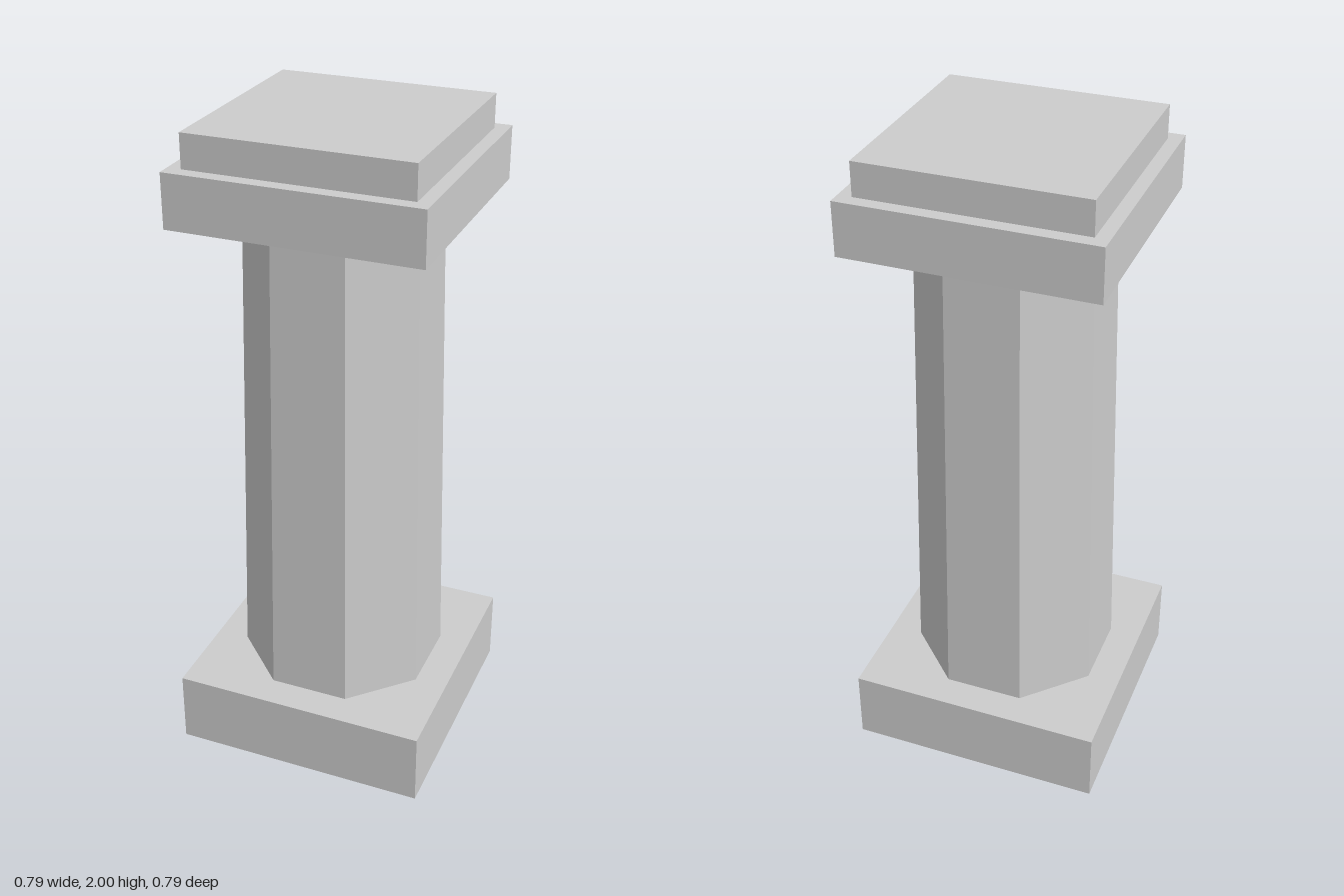
import * as THREE from 'three';

export function createModel() {
  const model = new THREE.Group();
  model.name = 'column';
  const stone = new THREE.MeshStandardMaterial({ color: 0xcccccc });
  stone.name = 'grey stone';
  stone.flatShading = true;

  const add = (name, geometry, y0, y1) => {
    const mesh = new THREE.Mesh(geometry, stone);
    mesh.name = name;
    mesh.position.y = (y0 + y1) / 2;
    model.add(mesh);
  };
  const slab = (name, width, y0, y1) =>
    add(name, new THREE.BoxGeometry(width, y1 - y0, width), y0, y1);

  // Square slabs: foot, wide capital and narrower top
  slab('plinth', 0.79, 0, 0.23);
  slab('capital', 0.742, 1.74, 1.9);
  slab('topSlab', 0.66, 1.9, 2);

  // Tapered octagonal shaft, turned so a flat side faces front
  const toCorner = 1 / Math.cos(Math.PI / 8);
  const shaft = new THREE.CylinderGeometry(0.264 * toCorner, 0.295 * toCorner, 1.51, 8, 1, true);
  shaft.rotateY(Math.PI / 8);
  add('shaft', shaft, 0.23, 1.74);

  return model;
}
